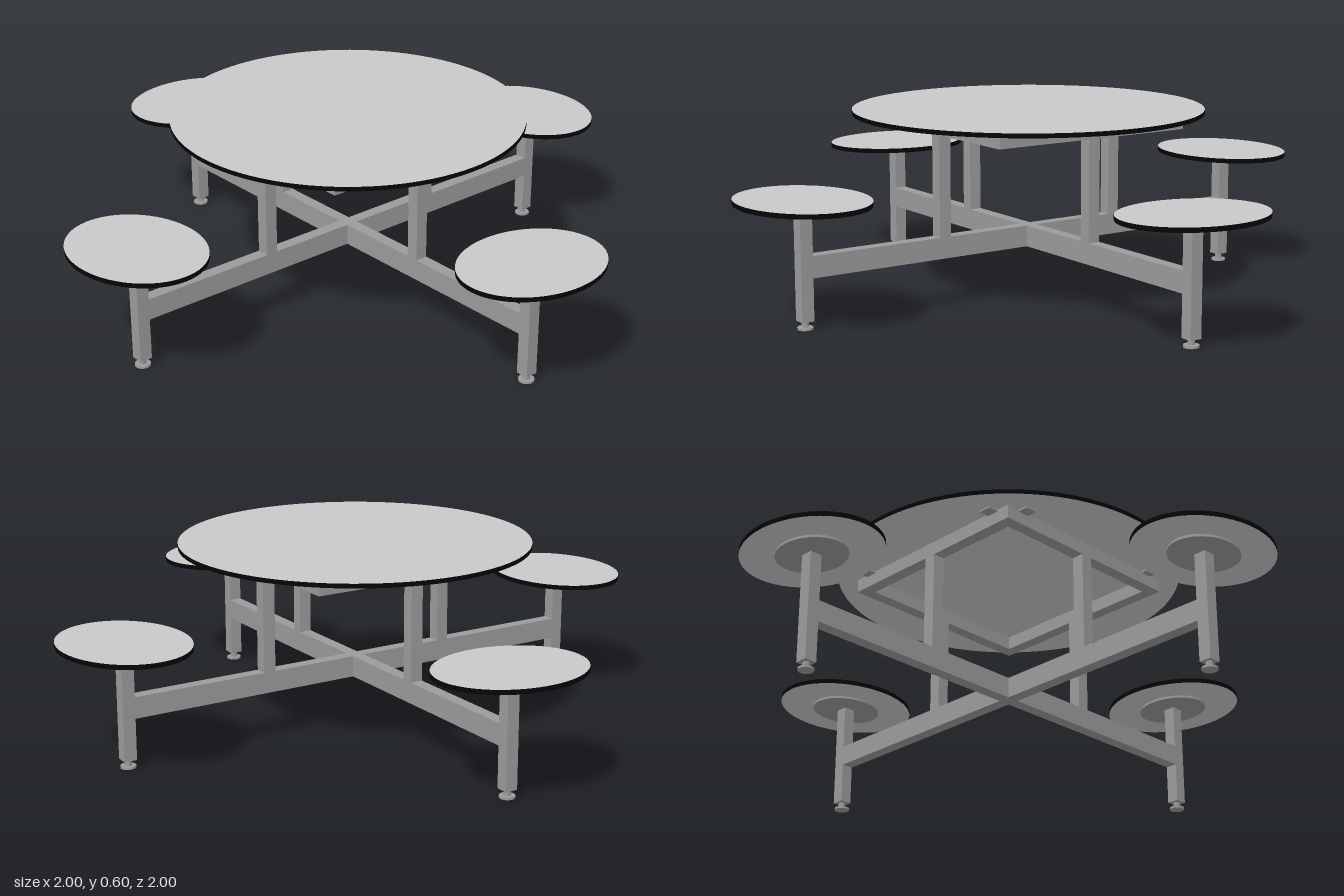
import * as THREE from 'three';

export function createModel() {
  const mat = (name, color) => {
    const m = new THREE.MeshStandardMaterial({ color });
    m.name = name;
    return m;
  };
  const laminate = mat('light grey laminate', 0xc8c8c8);
  const edging = mat('black edging', 0x050505);
  const steel = mat('grey steel', 0x9b9b9b);

  const add = (parent, name, geometry, material, x = 0, y = 0, z = 0) => {
    const mesh = new THREE.Mesh(geometry, material);
    mesh.name = name;
    mesh.position.set(x, y, z);
    parent.add(mesh);
    return mesh;
  };
  // Box given by its centre in x and z and its bottom and top heights
  const bar = (parent, name, x, z, w, d, y0, y1) =>
    add(parent, name, new THREE.BoxGeometry(w, y1 - y0, d), steel, x, (y0 + y1) / 2, z);
  // Upright elliptical disc: radii rx and rz
  const disc = (parent, name, x, rx, rz, y0, y1, material, sides = 64) =>
    add(parent, name, new THREE.CylinderGeometry(1, 1, y1 - y0, sides).scale(rx, 1, rz),
      material, x, (y0 + y1) / 2);

  const model = new THREE.Group();
  model.name = 'picnicTable';
  const board = [edging, laminate, laminate];
  const tube = 0.04;

  // Round table top with dark rim
  disc(model, 'tableTop', 0, 0.553, 0.553, 0.584, 0.598, board, 96);

  // Square support frame under the top
  const square = (path, h) => path.moveTo(-h, -h).lineTo(h, -h).lineTo(h, h).lineTo(-h, h).closePath();
  const outline = square(new THREE.Shape(), 0.345);
  outline.holes.push(square(new THREE.Path(), 0.305));
  const frame = new THREE.ExtrudeGeometry(outline, { depth: 0.044, bevelEnabled: false });
  frame.rotateX(-Math.PI / 2);
  add(model, 'topFrame', frame, steel, 0, 0.54, 0);

  // Four identical arms around the centre
  for (let i = 0; i < 4; i++) {
    const arm = new THREE.Group();
    arm.name = 'arm' + (i + 1);
    arm.rotation.y = i * Math.PI / 2;
    model.add(arm);

    // Base beam, table post and seat leg
    bar(arm, 'beam', 0.3925, 0, 0.785, tube, 0.155, 0.222);
    bar(arm, 'tablePost', 0.325, 0, tube, tube, 0.222, 0.54);
    bar(arm, 'seatLeg', 0.805, 0, tube, tube, 0.025, 0.368);

    // Levelling foot
    disc(arm, 'footStem', 0.805, 0.011, 0.011, 0.006, 0.025, steel, 20);
    disc(arm, 'footPad', 0.805, 0.024, 0.024, 0, 0.007, steel, 24);

    // Oval seat on its mounting plate
    disc(arm, 'seatPlate', 0.805, 0.1, 0.12, 0.368, 0.376, steel);
    disc(arm, 'seat', 0.805, 0.194, 0.24, 0.376, 0.391, board);

    // Fixing tabs on the outside of the frame
    for (const s of [-1, 1]) bar(arm, 'fixingTab', 0.362, s * 0.28, 0.035, 0.04, 0.578, 0.584);
  }
  return model;
}
